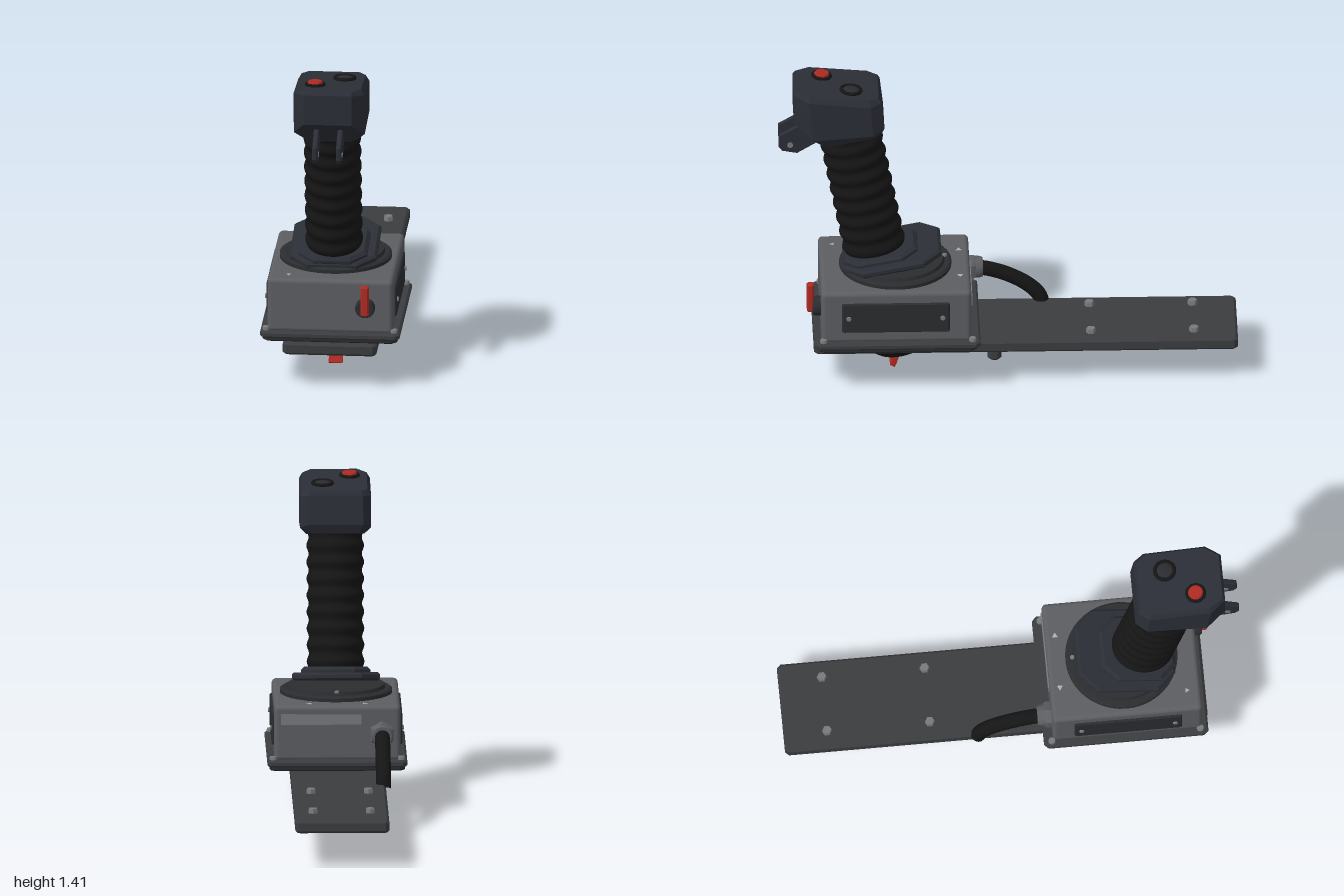
import * as THREE from 'three';
import { toCreasedNormals } from 'three/addons/utils/BufferGeometryUtils.js';
import { RoundedBoxGeometry } from 'three/addons/geometries/RoundedBoxGeometry.js';
import { ConvexGeometry } from 'three/addons/geometries/ConvexGeometry.js';

const mat = (color, flatShading = false) => {
  const m = new THREE.MeshStandardMaterial({ flatShading });
  m.color.set(color);
  return m;
};
const M = {
  housing: mat(0x5c5e62), plate: mat(0x3b3c3f), panel: mat(0x2b2c2f), rubber: mat(0x151515),
  head: mat(0x2b2e36, true), collar: mat(0x2b2e36), red: mat(0xb02a22), screw: mat(0x77797c), mark: mat(0xb0b0b0),
};

function add(parent, name, geometry, material, x = 0, y = 0, z = 0) {
  const mesh = new THREE.Mesh(geometry, material);
  mesh.name = name;
  mesh.position.set(x, y, z);
  parent.add(mesh);
  return mesh;
}

// Box with chamfered edges; cut trims the four upright corners
function chamferBox(w, h, d, bevel, cut = 0.01) {
  const a = w / 2 - bevel, b = d / 2 - bevel;
  const pts = [[a, b - cut], [a - cut, b], [cut - a, b], [-a, b - cut], [-a, cut - b], [cut - a, -b], [a - cut, -b], [a, cut - b]];
  const shape = new THREE.Shape(pts.map(p => new THREE.Vector2(...p)));
  const geo = new THREE.ExtrudeGeometry(shape, {
    depth: h - 2 * bevel, bevelEnabled: true, bevelSegments: 1, bevelSize: bevel, bevelThickness: bevel,
  });
  return geo.translate(0, 0, bevel - h / 2).rotateX(-Math.PI / 2);
}

const lathe = (pts, n = 40) =>
  toCreasedNormals(new THREE.LatheGeometry(pts.map(p => new THREE.Vector2(...p)), n), 0.6);
const disc = (r, h, n = 24) => lathe([[0, -h / 2], [r, -h / 2], [r, h * 0.2], [r * 0.88, h / 2], [0, h / 2]], n);

export function createModel() {
  const model = new THREE.Group();
  model.name = 'controlStick';

  // Mounting arm with its bolts and cross bar
  add(model, 'mountingArm', chamferBox(0.41, 0.055, 1.85, 0.01), M.plate, 0, 0.183, -0.075);
  for (const x of [-0.125, 0.125]) for (const z of [-0.81, -0.36])
    add(model, 'armBolt', disc(0.022, 0.03, 6), M.screw, x, 0.217, z);
  add(model, 'crossBar', chamferBox(0.27, 0.085, 0.06, 0.012), M.plate, 0, 0.12, 0.06);

  // Flange and housing
  add(model, 'lowerFlange', chamferBox(0.59, 0.03, 0.69, 0.006, 0.02), M.panel, 0, 0.225, 0.485);
  add(model, 'flange', chamferBox(0.61, 0.03, 0.72, 0.008, 0.015), M.plate, 0, 0.243, 0.485);
  add(model, 'housing', new RoundedBoxGeometry(0.55, 0.245, 0.655, 3, 0.02), M.housing, 0, 0.373, 0.4925);
  for (const x of [-1, 1]) for (const z of [0.16, 0.81])
    add(model, 'flangeScrew', disc(0.016, 0.018, 12), M.screw, x * 0.28, 0.264, z);

  // Side panels
  for (const s of [-1, 1]) {
    add(model, 'sidePanel', chamferBox(0.03, 0.14, 0.47, 0.005, 0.003), M.panel, s * 0.27, 0.375, 0.495);
    for (const z of [0.29, 0.7])
      add(model, 'panelScrew', disc(0.011, 0.012, 12), M.screw, s * 0.286, 0.375, z).rotation.z = -s * Math.PI / 2;
  }

  // Rear label plate and small direction marks on the lid
  add(model, 'rearLabelPlate', new THREE.BoxGeometry(0.35, 0.045, 0.008), M.screw, 0.07, 0.435, 0.164);
  for (const s of [-1, 1])
    add(model, 'directionMark', new THREE.CylinderGeometry(0.015, 0.015, 0.004, 3), M.mark, s * 0.12, 0.496, 0.21)
      .rotation.y = s * Math.PI / 2;
  add(model, 'frontMark', new THREE.CylinderGeometry(0.012, 0.012, 0.004, 3), M.mark, -0.185, 0.496, 0.76);

  // Round turret ring on the lid
  add(model, 'turretRing', lathe([[0, 0], [0.245, 0], [0.245, 0.018], [0.235, 0.025], [0.215, 0.025],
    [0.21, 0.04], [0, 0.04]], 48), M.panel, 0, 0.493, 0.49);
  add(model, 'lidScrew', disc(0.01, 0.01, 12), M.screw, 0, 0.535, 0.275);

  // Lock knob and lever on the front
  add(model, 'lockKnob', disc(0.043, 0.04), M.panel, 0.155, 0.375, 0.835).rotation.x = Math.PI / 2;
  add(model, 'lockLever', chamferBox(0.036, 0.135, 0.032, 0.005, 0.004), M.red, 0.156, 0.418, 0.864);

  // Cable gland and cable
  add(model, 'cableGland', disc(0.058, 0.035, 6), M.housing, -0.195, 0.37, 0.15).rotation.x = -Math.PI / 2;
  add(model, 'glandNut', disc(0.048, 0.06, 12), M.housing, -0.195, 0.37, 0.133).rotation.x = -Math.PI / 2;
  const path = new THREE.CatmullRomCurve3([[0.15, 0.37], [0.09, 0.363], [0, 0.335], [-0.09, 0.285], [-0.14, 0.235], [-0.157, 0.19]]
    .map(([z, y]) => new THREE.Vector3(-0.195, y, z)));
  add(model, 'cable', new THREE.TubeGeometry(path, 32, 0.033, 14), M.rubber);

  // Leaning collar and ribbed grip
  const stick = new THREE.Group();
  stick.name = 'stick';
  stick.position.set(0, 0.56, 0.575);
  stick.rotation.x = 0.19;
  model.add(stick);
  add(stick, 'collar', chamferBox(0.38, 0.035, 0.43, 0.01, 0.075), M.collar, 0, -0.013, -0.07);
  add(stick, 'collarStep', chamferBox(0.3, 0.04, 0.33, 0.014, 0.06), M.collar, 0, 0.01, -0.02);
  const ribs = [];
  for (let i = 0; i <= 72; i++)
    ribs.push([0.121 + 0.005 * Math.cos(i / 72 * 9 * Math.PI * 2), -0.02 + i / 72 * 0.65]);
  add(stick, 'grip', new THREE.LatheGeometry(ribs.map(p => new THREE.Vector2(...p)), 40), M.rubber).scale.z = 1.1;

  // Faceted head: each ring lists half width, y, z for four corners, mirrored
  const rings = [
    [[0.09, 1.135, 0.82], [0.125, 1.14, 0.78], [0.125, 1.175, 0.6], [0.1, 1.185, 0.555]],
    [[0.105, 1.25, 0.935], [0.155, 1.185, 0.85], [0.155, 1.205, 0.59], [0.12, 1.225, 0.54]],
    [[0.105, 1.385, 0.935], [0.155, 1.37, 0.87], [0.155, 1.345, 0.6], [0.12, 1.35, 0.555]],
    [[0.1, 1.4, 0.925], [0.14, 1.396, 0.865], [0.14, 1.374, 0.61], [0.11, 1.37, 0.565]],
  ];
  const corners = rings.flat().flatMap(([x, y, z]) => [new THREE.Vector3(x, y, z), new THREE.Vector3(-x, y, z)]);
  add(model, 'head', new ConvexGeometry(corners), M.head);

  // Twin trigger tabs below the head, with their pivots
  const tab = new THREE.Shape([[-0.8, 1.15], [-0.92, 1.078], [-0.985, 1.09], [-1, 1.11], [-1, 1.165], [-0.9, 1.222], [-0.8, 1.24]]
    .map(p => new THREE.Vector2(...p)));
  const tabGeo = new THREE.ExtrudeGeometry(tab, {
    depth: 0.012, bevelEnabled: true, bevelSegments: 1, bevelSize: 0.004, bevelThickness: 0.005, bevelOffset: -0.004,
  }).translate(0, 0, -0.006).rotateY(Math.PI / 2);
  for (const s of [-1, 1]) {
    add(model, 'triggerTab', tabGeo, M.collar, s * 0.052, 0, 0);
    add(model, 'tabPivot', new THREE.CylinderGeometry(0.013, 0.013, 0.028, 12), M.screw, s * 0.052, 1.12, 0.95)
      .rotation.z = Math.PI / 2;
  }

  // Head buttons, on the slightly sloped top
  const topButton = (name, x, z, r, h, material) => {
    const g = new THREE.Group();
    g.name = name;
    g.position.set(x, 1.4 - 0.08 * (0.93 - z), z);
    g.rotation.x = -0.08;
    add(g, name + 'Bezel', new THREE.TorusGeometry(r, 0.009, 8, 28).rotateX(Math.PI / 2), M.rubber, 0, 0.004);
    add(g, name + 'Cap', disc(r * 0.9, h), material, 0, h / 2 - 0.002);
    model.add(g);
  };
  topButton('redButton', -0.065, 0.81, 0.037, 0.022, M.red);
  topButton('trimButton', 0.055, 0.685, 0.042, 0.01, M.panel);

  // Rubber boot and red pull strap below the arm
  const boot = add(model, 'lowerBoot', lathe([[0, -0.085], [0.115, -0.085], [0.132, -0.07], [0.152, -0.025], [0.158, 0.03], [0, 0.03]]),
    M.rubber, 0, 0.18, 0.485);
  boot.rotation.x = 0.19;
  const strap = new THREE.Shape();
  strap.moveTo(-0.463, 0.13);
  strap.quadraticCurveTo(-0.468, 0.05, -0.493, 0);
  strap.lineTo(-0.514, 0.01);
  strap.quadraticCurveTo(-0.488, 0.06, -0.483, 0.13);
  add(model, 'pullStrap', new THREE.ExtrudeGeometry(strap, { depth: 0.06, bevelEnabled: false, curveSegments: 8 })
    .translate(0, 0, -0.03).rotateY(Math.PI / 2), M.red);

  return model;
}
